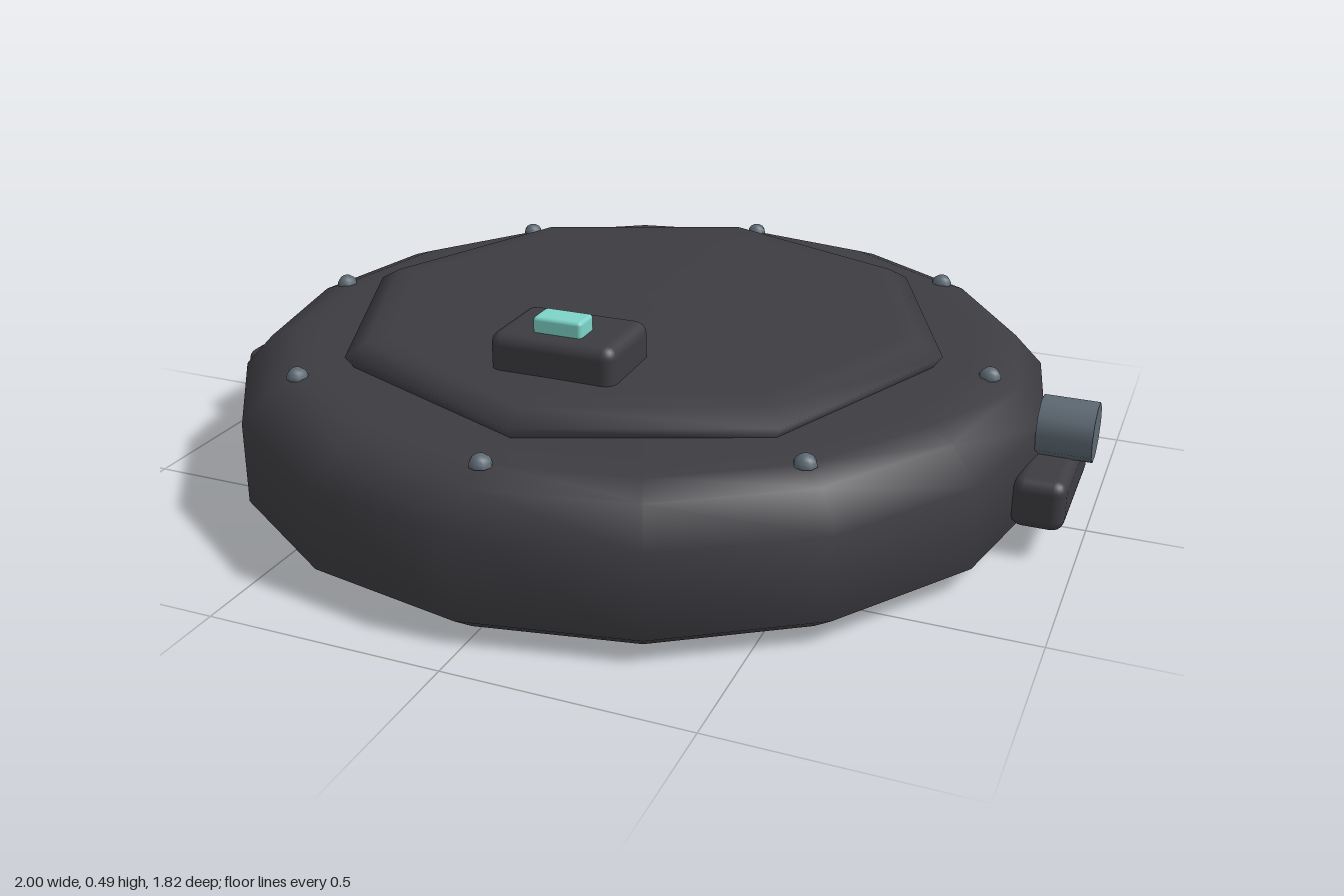
import * as THREE from 'three';
import { RoundedBoxGeometry } from 'three/addons/geometries/RoundedBoxGeometry.js';

export function createModel() {
  const shell = new THREE.MeshStandardMaterial({ color: 0x3d3c41 });
  const steel = new THREE.MeshStandardMaterial({ color: 0x5c6872 });
  const teal = new THREE.MeshStandardMaterial({ color: 0x7dd3c8 });
  shell.name = 'charcoal shell';
  steel.name = 'blue grey steel';
  teal.name = 'teal light';

  const model = new THREE.Group();
  model.name = 'disc';
  const cx = -0.015; // the knob shifts the body off centre

  const add = (name, geometry, material, x, y, z) => {
    const mesh = new THREE.Mesh(geometry, material);
    mesh.name = name;
    mesh.position.set(x, y, z);
    model.add(mesh);
    return mesh;
  };
  const lathe = (points, sides) =>
    new THREE.LatheGeometry(points.map(([r, y]) => new THREE.Vector2(r, y)), sides);

  // Sixteen-sided body with bevelled rims
  add('body', lathe([
    [0, 0], [0.8, 0], [0.845, 0.004], [0.91, 0.05], [0.91, 0.228],
    [0.847, 0.296], [0.787, 0.318], [0.72, 0.32], [0, 0.32],
  ], 16), shell, cx, 0, 0);

  // Octagonal lid, wider at mid height
  add('lid', lathe([
    [0.66, 0.312], [0.685, 0.346], [0.637, 0.373], [0.58, 0.376], [0, 0.384],
  ], 8), shell, cx, 0, 0);

  // Ring of domed rivets
  const dome = new THREE.SphereGeometry(0.024, 8, 4, 0, Math.PI * 2, 0, Math.PI / 2);
  for (let i = 0; i < 8; i++) {
    const a = (i * Math.PI) / 4;
    add('rivet', dome, steel, cx + 0.787 * Math.sin(a), 0.315, 0.787 * Math.cos(a));
  }

  // Sensor housing with its light
  add('sensorHousing', new RoundedBoxGeometry(0.275, 0.11, 0.195, 3, 0.026), shell, cx, 0.4, 0.393);
  add('indicatorLight', new RoundedBoxGeometry(0.107, 0.06, 0.064, 2, 0.008), teal, cx, 0.458, 0.422);

  // Side grips
  const grip = new RoundedBoxGeometry(0.11, 0.11, 0.332, 3, 0.026);
  for (const s of [-1, 1]) {
    add(s > 0 ? 'leftGrip' : 'rightGrip', grip, shell, cx + s * 0.93, 0.116, 0);
  }

  // Side knob
  const knob = add('knob', new THREE.CylinderGeometry(0.064, 0.064, 0.115, 10), steel, 0.9425, 0.228, 0);
  knob.rotation.z = -Math.PI / 2;

  return model;
}
